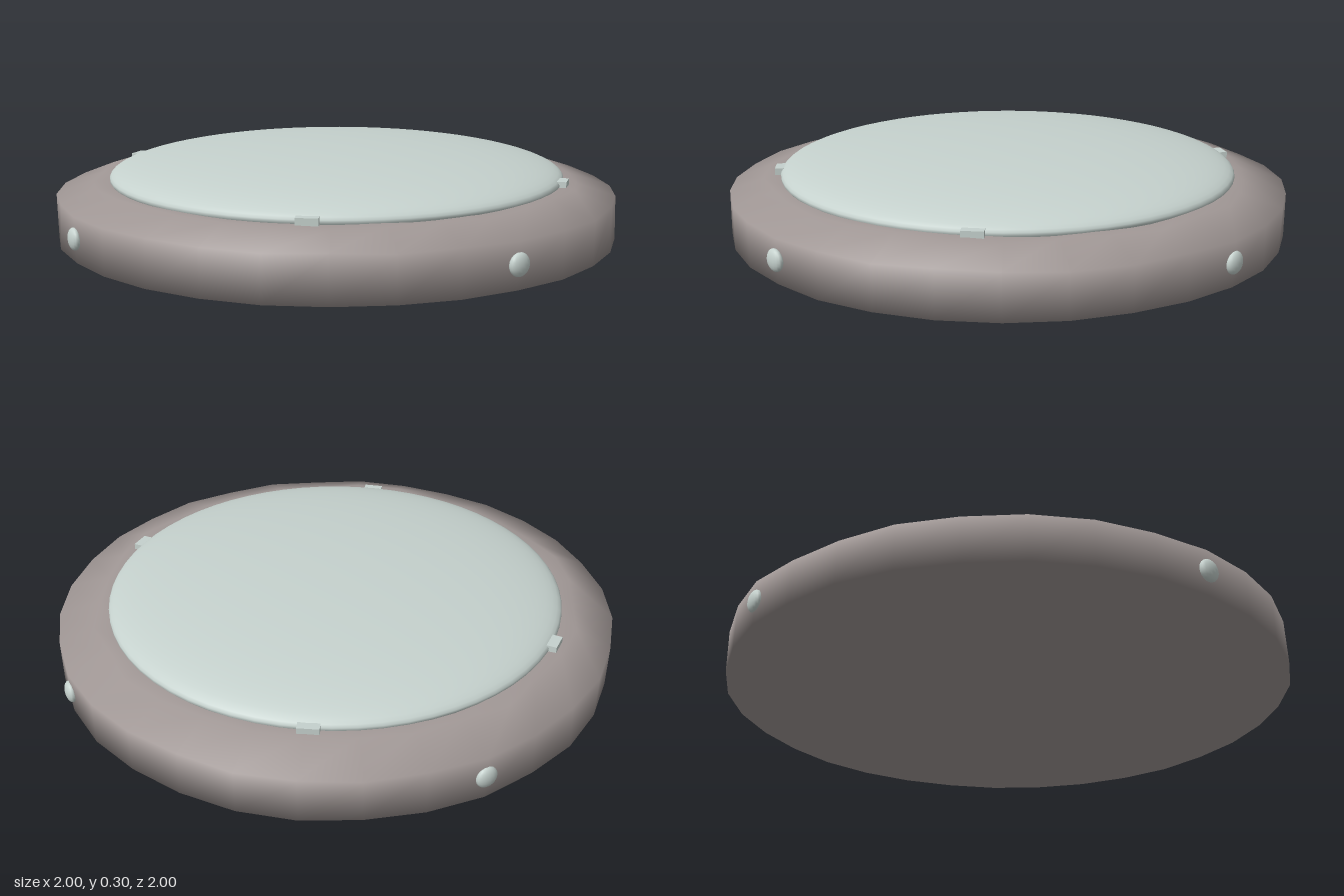
import * as THREE from 'three';

const SEGMENTS = 32;

function flatColor(name, color) {
  const m = new THREE.MeshStandardMaterial({ color });
  m.name = name;
  return m;
}

// Small seeded generator, returns values from -1 to 1
function seeded(seed) {
  let s = seed;
  return () => {
    s = (s * 16807) % 2147483647;
    return (s / 2147483647) * 2 - 1;
  };
}

// Worn round base: rings of vertices joined by quads, closed at both centres
function baseGeometry() {
  const rand = seeded(41);
  // radius, height, radial wear, vertical wear
  const rings = [
    [0.978, 0, 0.004, 0],
    [0.978, 0.15, 0.005, 0.004],
    [0.845, 0.193, 0.018, 0.004],
    [0.785, 0.192, 0.006, 0.003],
  ];
  const pos = [];
  const index = [];
  for (const [radius, height, wearR, wearY] of rings) {
    for (let i = 0; i < SEGMENTS; i++) {
      const a = (i / SEGMENTS) * Math.PI * 2;
      const r = radius + rand() * wearR;
      pos.push(Math.sin(a) * r, height + rand() * wearY, Math.cos(a) * r);
    }
  }
  const bottom = pos.length / 3;
  pos.push(0, 0, 0, 0, 0.19, 0);
  const top = bottom + 1;
  const last = (rings.length - 1) * SEGMENTS;
  for (let i = 0; i < SEGMENTS; i++) {
    const j = (i + 1) % SEGMENTS;
    for (let k = 0; k < rings.length - 1; k++) {
      const lo = k * SEGMENTS;
      const hi = lo + SEGMENTS;
      index.push(lo + i, lo + j, hi + j, lo + i, hi + j, hi + i);
    }
    index.push(bottom, j, i, top, last + i, last + j);
  }
  const geo = new THREE.BufferGeometry();
  geo.setAttribute('position', new THREE.Float32BufferAttribute(pos, 3));
  geo.setIndex(index);
  geo.computeVertexNormals();
  return geo;
}

export function createModel() {
  const group = new THREE.Group();
  group.name = 'domedDisc';
  const stone = flatColor('warmGrey', 0xa19896);
  const pale = flatColor('paleGreenGrey', 0xc5d1cd);

  const add = (name, geo, mat) => {
    const mesh = new THREE.Mesh(geo, mat);
    mesh.name = name;
    group.add(mesh);
    return mesh;
  };

  add('base', baseGeometry(), stone);

  // Shallow dome set into the base
  const domeGeo = new THREE.SphereGeometry(0.8, 64, 20, 0, Math.PI * 2, 0, Math.PI * 0.54);
  domeGeo.scale(1, 0.125, 1);
  add('dome', domeGeo, pale).position.y = 0.2;

  // Four clips holding the dome edge
  const clipGeo = new THREE.BoxGeometry(0.07, 0.03, 0.04);
  for (const [x, z] of [[0.5, 0.625], [-0.5, 0.625], [0.435, -0.67], [-0.48, -0.645]]) {
    const clip = add('clip', clipGeo, pale);
    clip.position.set(x, 0.2, z);
    clip.rotation.y = Math.atan2(x, z);
  }

  // Round bolt heads on the four sides
  const boltGeo = new THREE.SphereGeometry(0.037, 16, 10);
  boltGeo.scale(1, 1, 0.5);
  for (let i = 0; i < 4; i++) {
    const a = (i * Math.PI) / 2;
    const bolt = add('bolt', boltGeo, pale);
    bolt.position.set(Math.sin(a) * 0.981, 0.08, Math.cos(a) * 0.981);
    bolt.rotation.y = a;
  }
  return group;
}
